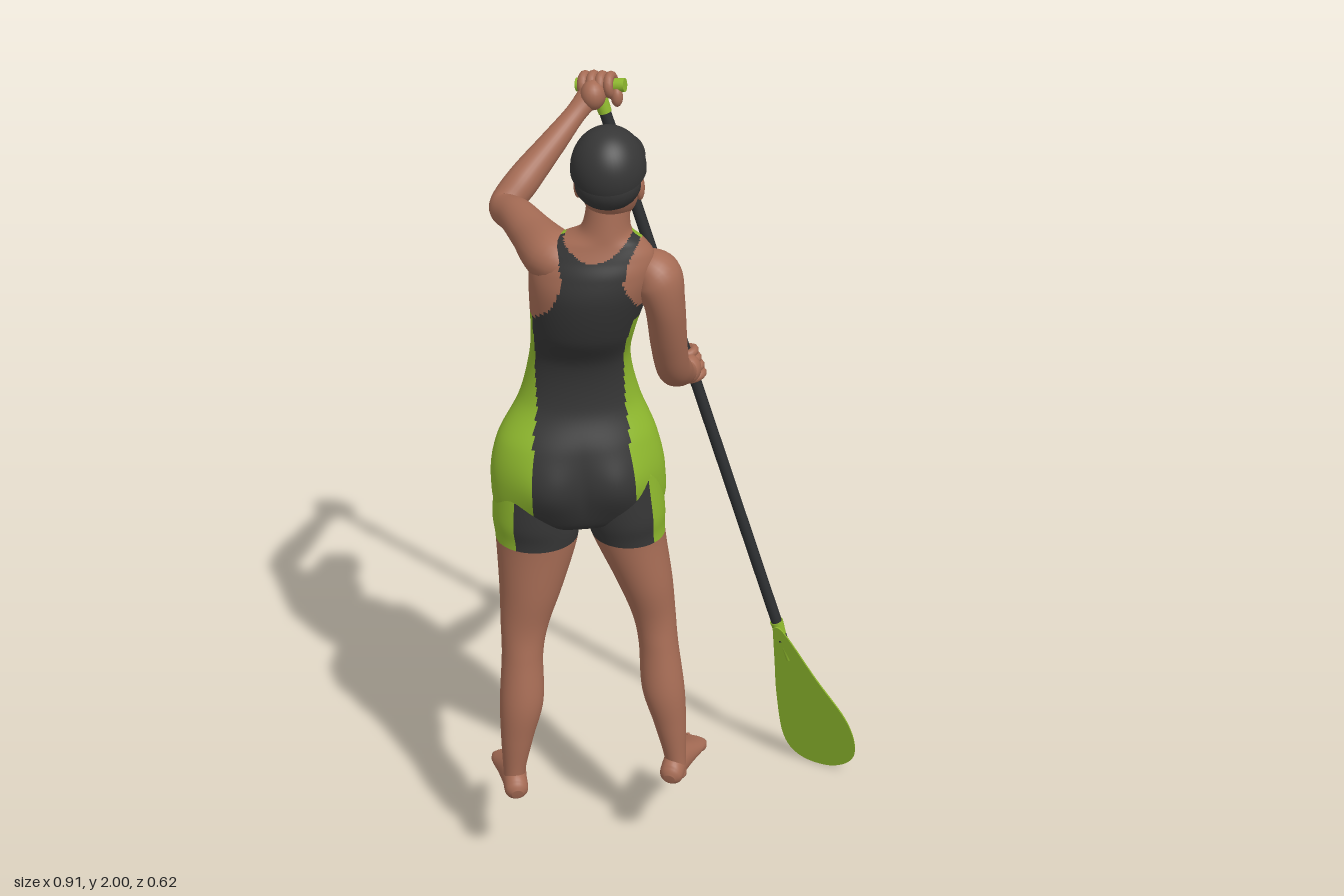
import * as THREE from 'three';

const mat = (name, color) => Object.assign(new THREE.MeshStandardMaterial({ color }), { name });
const skin = mat('skin', 0xa66c55);
const black = mat('dark fabric', 0x363636);
const lime = mat('lime', 0x8fb92e);
const shaftMat = mat('shaft', 0x2c2e30);
const white = mat('eye white', 0xdcd4cc);
const lipMat = mat('lips', 0x8c4c42);
black.side = THREE.DoubleSide;
const suit = [skin, black, lime];
const V = (x, y, z) => new THREE.Vector3(x, y, z);
const lerp = THREE.MathUtils.lerp;

function mesh(name, geo, material, parent, pos, scale) {
  const m = new THREE.Mesh(geo, material);
  m.name = name;
  if (pos) m.position.set(...pos);
  if (scale) m.scale.set(...scale);
  parent.add(m);
  return m;
}
const ball = (name, m, parent, pos, scale) => mesh(name, new THREE.SphereGeometry(1, 20, 14), m, parent, pos, scale);

function rod(name, a, b, ra, rb, m, parent) {
  const d = b.clone().sub(a);
  const r = mesh(name, new THREE.CylinderGeometry(rb, ra, d.length(), 20), m, parent);
  r.position.copy(a).addScaledVector(d, 0.5);
  r.quaternion.setFromUnitVectors(V(0, 1, 0), d.normalize());
  return r;
}

// Smooth skin through elliptical sections [x, y, z, radiusA, radiusB, twist].
// 'level' keeps every ring horizontal; otherwise rings follow the path.
function loft(rows, { level = false, normal = V(1, 0, 0), segs = 28, steps = 8, rule, bump } = {}) {
  const n = (rows.length - 1) * steps, pos = [], info = [], groups = [[], [], []];
  const at = (s) => {
    const i = Math.min(Math.floor(s), rows.length - 2), t = s - i;
    const r = (k) => rows[Math.max(0, Math.min(rows.length - 1, k))];
    return [0, 1, 2, 3, 4, 5].map((c) => {
      const [p, q, u, v] = [r(i - 1), r(i), r(i + 1), r(i + 2)].map((a) => a[c] || 0);
      return q + 0.5 * t * (u - p + t * (2 * p - 5 * q + 4 * u - v + t * (3 * (q - u) + v - p)));
    });
  };
  let N = normal.clone();
  for (let i = 0; i <= n; i++) {
    const s = at(i / steps), T = V(0, 1, 0), P = V(s[0], s[1], s[2]);
    if (level) N.set(Math.cos(s[5]), 0, -Math.sin(s[5]));
    else {
      const a = at(Math.max(0, i - 0.5) / steps), b = at(Math.min(n, i + 0.5) / steps);
      T.set(b[0] - a[0], b[1] - a[1], b[2] - a[2]).normalize();
      N.addScaledVector(T, -N.dot(T)).normalize();
    }
    const B = T.clone().cross(N);
    for (let j = 0; j < segs; j++) {
      const t = (j / segs) * Math.PI * 2, c = Math.cos(t), d = Math.sin(t);
      const p = P.clone().addScaledVector(N, c * s[3]).addScaledVector(B, d * s[4]);
      if (bump) p.addScaledVector(B, bump(c * s[3], p.y, d));
      pos.push(p.x, p.y, p.z);
      info.push([p, t]);
    }
  }
  for (let i = 0; i < n; i++) for (let j = 0; j < segs; j++) {
    const k = (j + 1) % segs, a = i * segs + j, b = i * segs + k, c = a + segs, d = b + segs;
    const mid = info[a][0].clone().add(info[d][0]).multiplyScalar(0.5);
    const g = rule ? rule(mid, info[a][1] + Math.PI / segs) : 0;
    groups[g].push(a, b, c, b, d, c);
  }
  // end caps
  for (const [row, i] of [[rows[0], 0], [rows[rows.length - 1], n]]) {
    const c = pos.length / 3, g = rule ? rule(V(row[0], row[1], row[2]), Math.PI / 2) : 0;
    pos.push(row[0], row[1], row[2]);
    for (let j = 0; j < segs; j++) {
      const a = i * segs + j, b = i * segs + ((j + 1) % segs);
      groups[g].push(...(i ? [c, a, b] : [c, b, a]));
    }
  }
  const geo = new THREE.BufferGeometry();
  geo.setAttribute('position', new THREE.Float32BufferAttribute(pos, 3));
  geo.setIndex(groups.flat());
  let start = 0;
  groups.forEach((g, k) => { if (g.length) geo.addGroup(start, g.length, k); start += g.length; });
  geo.computeVertexNormals();
  return geo;
}

// Piecewise linear lookup
function ramp(x, pts) {
  for (let i = 1; i < pts.length; i++) if (x < pts[i][0])
    return lerp(pts[i - 1][1], pts[i][1], Math.max(0, (x - pts[i - 1][0]) / (pts[i][0] - pts[i - 1][0])));
  return pts[pts.length - 1][1];
}

// Suit pattern: lime side panels, racer back, scooped neck, lime front straps
function torsoRule(p, t) {
  const front = Math.sin(t) > 0, side = Math.abs(Math.cos(t)), s = Math.abs(p.x + 0.15);
  if (p.y > 1.755) return 0;
  if (front && p.y > 1.58) {
    if (p.y > 1.6 + 0.03 * (s / 0.06) ** 4 && s < 0.068) return 0;
    if (s > ramp(p.y, [[1.58, 0.135], [1.63, 0.105], [1.75, 0.1]])) return 0;
    if (p.y > 1.64) return 2;
  }
  if (!front && p.y > 1.54) {
    if (p.y > 1.7 + s * s * 8) return 0;
    return s > ramp(p.y, [[1.54, 0.14], [1.59, 0.09], [1.65, 0.067], [1.7, 0.078], [1.74, 0.1]]) ? 0 : 1;
  }
  const edge = front ? [[1.25, 0.6], [1.4, 0.7], [1.6, 0.42]] : [[1.2, 0.6], [1.4, 0.86], [1.55, 0.93]];
  return side > ramp(p.y, edge) ? 2 : 1;
}
const hill = (x, y, cx, cy, w) => Math.exp(-((x - cx) ** 2 + (y - cy) ** 2) / (w * w));
const torsoBump = (x, y, d) => d > 0
  ? d * 0.024 * hill(Math.abs(x), y, 0.058, 1.535, 0.05)
  : d * 0.03 * hill(Math.abs(x), y, 0.09, 1.1, 0.075);

function hand(name, parent, center, axis, palm, thumb) {
  const g = new THREE.Group();
  g.name = name;
  g.position.copy(center);
  g.quaternion.setFromUnitVectors(V(0, 1, 0), axis.clone().normalize());
  parent.add(g);
  for (let i = 0; i < 4; i++) {
    const f = mesh('finger', new THREE.TorusGeometry(0.023 - 0.001 * Math.abs(i - 1), 0.0115, 10, 22), skin, g, [0, (i - 1.5) * 0.021, 0]);
    f.rotation.x = Math.PI / 2;
  }
  ball('palm', skin, parent, palm, [0.03, 0.036, 0.034]);
  ball('thumb', skin, parent, thumb, [0.014, 0.024, 0.016]);
}

function foot(name, parent, x, z, turn, inner) {
  const g = new THREE.Group();
  g.name = name;
  g.position.set(x, 0.23, z);
  g.rotation.y = turn;
  parent.add(g);
  mesh('footBody', loft([[0, 0.028, 0.05, 0.014, 0.014], [0, 0.032, 0.036, 0.028, 0.03], [0, 0.042, 0, 0.03, 0.04],
    [0, 0.034, -0.055, 0.035, 0.032], [0, 0.021, -0.115, 0.042, 0.02], [0, 0.015, -0.15, 0.038, 0.012]]), skin, g);
  for (let i = 0; i < 5; i++)
    ball('toe', skin, g, [inner * (0.033 - i * 0.0165), 0.012, -0.158 + i * 0.006], [i ? 0.0085 : 0.013, 0.011, 0.025 - i * 0.002]);
}

export function createModel() {
  const root = new THREE.Group();
  root.name = 'paddler';

  // Torso and neck
  mesh('torso', loft([
    [-0.205, 0.965, 0.13, 0.09, 0.05, 0.25], [-0.206, 1.0, 0.13, 0.19, 0.095, 0.25], [-0.21, 1.1, 0.137, 0.205, 0.115, 0.25],
    [-0.212, 1.2, 0.135, 0.187, 0.115, 0.25], [-0.206, 1.3, 0.122, 0.14, 0.094, 0.2], [-0.2, 1.41, 0.142, 0.116, 0.08, 0.1],
    [-0.187, 1.5, 0.175, 0.119, 0.098, 0], [-0.17, 1.6, 0.19, 0.135, 0.112, 0], [-0.16, 1.66, 0.2, 0.14, 0.098, 0],
    [-0.152, 1.7, 0.206, 0.13, 0.077, 0], [-0.142, 1.73, 0.21, 0.1, 0.063, 0], [-0.128, 1.76, 0.212, 0.056, 0.055, 0],
    [-0.12, 1.83, 0.205, 0.048, 0.052, 0]],
  { level: true, segs: 120, steps: 10, rule: torsoRule, bump: torsoBump }), suit, root);

  // Legs, shorts above the hem
  const legRule = (out) => (p, t) => (p.y < 0.93 ? 0 : out * Math.cos(t) > 0.58 ? 2 : 1);
  mesh('leftLeg', loft([
    [0.02, 0.25, 0.14, 0.027, 0.034, 0.25], [0.018, 0.3, 0.138, 0.027, 0.032, 0.25], [0.005, 0.4, 0.136, 0.04, 0.042, 0.25],
    [-0.012, 0.5, 0.132, 0.052, 0.053, 0.25], [-0.025, 0.62, 0.115, 0.048, 0.055, 0.25], [-0.037, 0.7, 0.108, 0.053, 0.058, 0.25],
    [-0.06, 0.8, 0.108, 0.068, 0.076, 0.25], [-0.097, 0.93, 0.108, 0.088, 0.094, 0.25], [-0.104, 1.0, 0.112, 0.095, 0.104, 0.25],
    [-0.11, 1.12, 0.12, 0.088, 0.095, 0.25]], { level: true, segs: 60, rule: legRule(1) }), suit, root);
  mesh('rightLeg', loft([
    [-0.37, 0.25, 0.238, 0.027, 0.034, 0.25], [-0.37, 0.3, 0.236, 0.027, 0.032, 0.25], [-0.36, 0.4, 0.232, 0.04, 0.042, 0.25],
    [-0.348, 0.5, 0.222, 0.053, 0.053, 0.25], [-0.346, 0.62, 0.2, 0.05, 0.054, 0.25], [-0.34, 0.7, 0.187, 0.058, 0.056, 0.25],
    [-0.325, 0.8, 0.167, 0.076, 0.078, 0.25], [-0.31, 0.93, 0.15, 0.098, 0.095, 0.25], [-0.315, 1.0, 0.152, 0.098, 0.104, 0.25],
    [-0.31, 1.12, 0.16, 0.088, 0.095, 0.25]], { level: true, segs: 60, rule: legRule(-1) }), suit, root);
  foot('leftFoot', root, 0.018, 0.137, -0.2, -1);
  foot('rightFoot', root, -0.37, 0.236, 0.28, 1);

  // Arms
  mesh('leftArm', loft([
    [-0.05, 1.675, 0.2, 0.035, 0.04], [-0.018, 1.64, 0.198, 0.056, 0.063], [0, 1.57, 0.192, 0.046, 0.058], [0.006, 1.46, 0.162, 0.042, 0.046],
    [0.01, 1.375, 0.115, 0.039, 0.042], [0.012, 1.32, 0.03, 0.037, 0.04], [0.016, 1.255, -0.08, 0.028, 0.03],
    [0.019, 1.217, -0.155, 0.021, 0.025], [0.02, 1.207, -0.2, 0.024, 0.032]]), skin, root);
  mesh('rightArm', loft([
    [-0.19, 1.67, 0.225, 0.04, 0.05], [-0.245, 1.68, 0.205, 0.06, 0.066], [-0.3, 1.692, 0.125, 0.048, 0.054],
    [-0.35, 1.697, 0.04, 0.042, 0.044], [-0.388, 1.692, -0.028, 0.037, 0.038], [-0.352, 1.738, -0.075, 0.039, 0.039],
    [-0.29, 1.808, -0.135, 0.03, 0.031], [-0.243, 1.862, -0.182, 0.022, 0.025], [-0.21, 1.9, -0.212, 0.024, 0.03]],
  { normal: V(0, 1, 0) }), skin, root);

  // Paddle
  const along = (y) => V(0.245 - 0.308 * (y - 0.47), y, -0.226);
  const paddle = new THREE.Group();
  paddle.name = 'paddle';
  root.add(paddle);
  rod('shaft', along(0.42), along(1.9), 0.014, 0.014, shaftMat, paddle);
  rod('shaftCollar', along(1.71), along(1.76), 0.017, 0.017, lime, paddle);
  rod('gripStem', along(1.85), along(1.92), 0.016, 0.018, lime, paddle);
  rod('bladeSocket', along(0.36), along(0.475), 0.008, 0.017, lime, paddle);
  const barDir = V(1, 0.1, 0.2).normalize(), barMid = V(-0.196, 1.916, -0.228);
  rod('gripBar', barMid.clone().addScaledVector(barDir, -0.052), barMid.clone().addScaledVector(barDir, 0.066), 0.016, 0.016, lime, paddle);
  const outline = new THREE.Shape([[0.235, 0.46], [0.24, 0.35], [0.246, 0.22], [0.265, 0.075], [0.31, 0.012], [0.385, 0.004],
    [0.44, 0.04], [0.457, 0.1], [0.43, 0.195], [0.35, 0.315], [0.262, 0.455]].map(([x, y]) => new THREE.Vector2(x, y)));
  const smooth = new THREE.Shape(new THREE.SplineCurve([...outline.getPoints(), new THREE.Vector2(0.235, 0.46)]).getPoints(66).slice(0, -1));
  const blade = new THREE.ExtrudeGeometry(smooth, { depth: 0.008, bevelEnabled: false });
  const bp = blade.attributes.position;
  for (let i = 0; i < bp.count; i++) // tilt the flat blade
    bp.setZ(i, bp.getZ(i) - 0.209 + 0.4 * (bp.getX(i) - 0.43) + 0.25 * (bp.getY(i) - 0.19));
  blade.computeVertexNormals();
  mesh('blade', blade, lime, paddle);

  // Hands
  hand('leftHand', root, along(1.205), V(-0.308, 1, 0), [0.02, 1.207, -0.195], [-0.005, 1.232, -0.215]);
  hand('rightHand', root, barMid, barDir, [-0.205, 1.9, -0.205], [-0.15, 1.895, -0.21]);

  // Head and face
  const head = new THREE.Group();
  head.name = 'head';
  head.position.x = -0.119;
  root.add(head);
  mesh('skull', loft([[0, 1.762, 0.15, 0.014, 0.018], [0, 1.772, 0.158, 0.034, 0.042], [0, 1.805, 0.182, 0.055, 0.072],
    [0, 1.85, 0.201, 0.066, 0.088], [0, 1.89, 0.208, 0.07, 0.092], [0, 1.93, 0.212, 0.068, 0.085], [0, 1.965, 0.215, 0.045, 0.055]],
  { level: true, segs: 40 }), skin, head);
  ball('nose', skin, head, [0, 1.842, 0.115], [0.009, 0.026, 0.012]);
  ball('noseTip', skin, head, [0, 1.829, 0.104], [0.013, 0.009, 0.013]);
  ball('lips', lipMat, head, [0, 1.799, 0.113], [0.02, 0.008, 0.006]);
  for (const s of [-1, 1]) {
    ball('ear', skin, head, [s * 0.068, 1.855, 0.212], [0.01, 0.028, 0.017]);
    ball('eye', white, head, [s * 0.028, 1.862, 0.121], [0.013, 0.006, 0.004]);
    ball('iris', black, head, [s * 0.028, 1.862, 0.118], [0.005, 0.005, 0.003]);
    ball('eyebrow', black, head, [s * 0.029, 1.88, 0.122], [0.016, 0.003, 0.004]);
  }

  // Cap with curved brim, hair at the nape
  const crown = mesh('capCrown', new THREE.SphereGeometry(1, 40, 24, 0, Math.PI * 2, 0, 1.62), black, head, [0, 1.903, 0.222], [0.083, 0.097, 0.09]);
  crown.rotation.x = 0.28;
  ball('hair', black, head, [0, 1.875, 0.238], [0.073, 0.058, 0.068]);
  const brim = new THREE.PlaneGeometry(2, 1, 28, 10), q = brim.attributes.position;
  for (let i = 0; i < q.count; i++) {
    const u = q.getX(i), v = q.getY(i) + 0.5;
    q.setXYZ(i, u * (0.073 - 0.004 * v), 1.93 - 0.018 * v - 0.022 * u * u, 0.175 - v * 0.137 * Math.sqrt(1 - 0.75 * u ** 4));
  }
  brim.computeVertexNormals();
  mesh('capBrim', brim, black, head);
  return root;
}
